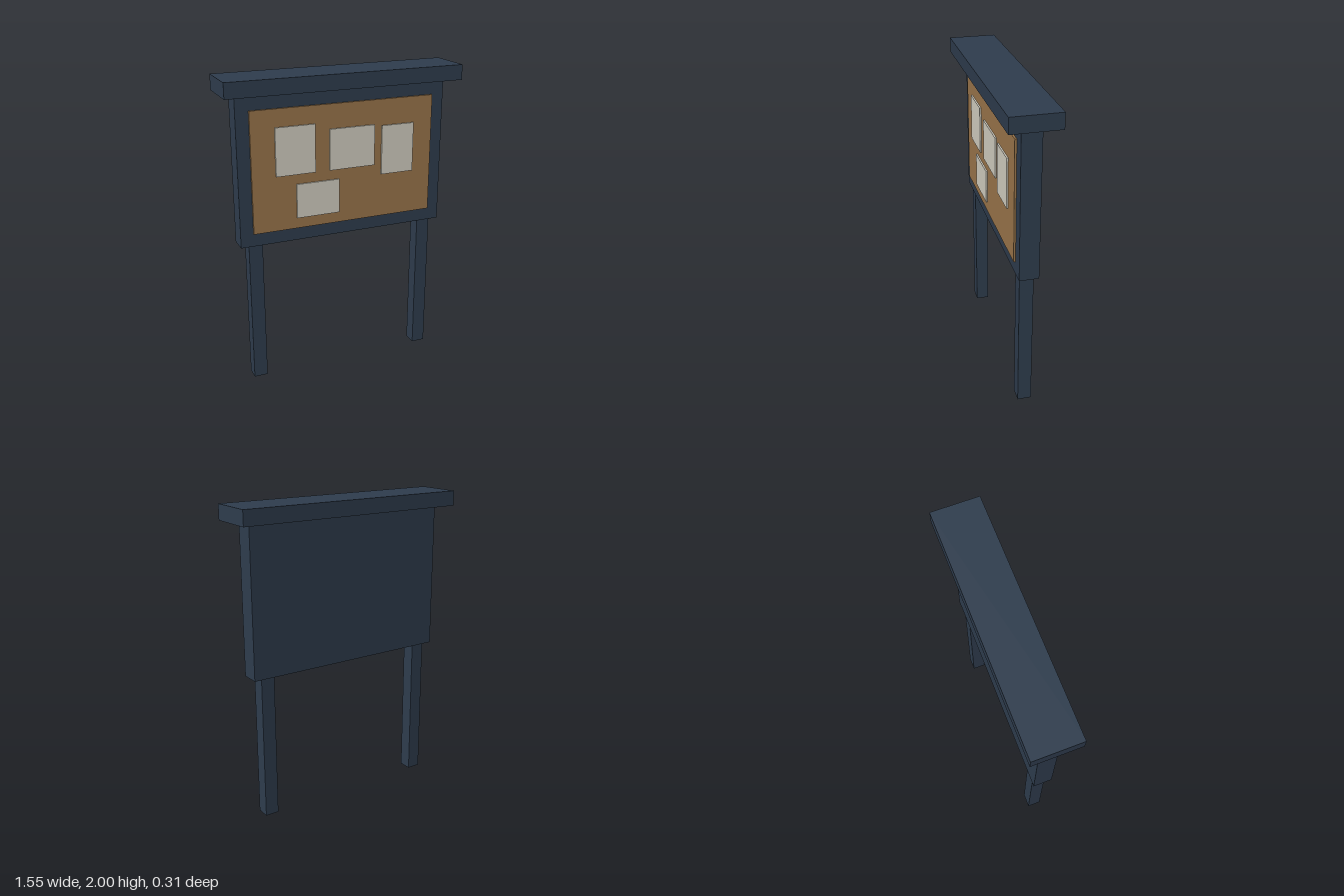
import * as THREE from 'three';

const frameMat = new THREE.MeshStandardMaterial({ name: 'slate blue paint', color: 0x2f3d4e });
const corkMat = new THREE.MeshStandardMaterial({ name: 'cork brown', color: 0x9c774c });
const paperMat = new THREE.MeshStandardMaterial({ name: 'paper white', color: 0xd5d1c4 });

// Box given by its lower and upper bounds on each axis
function box(name, material, [x0, x1], [y0, y1], [z0, z1]) {
  const mesh = new THREE.Mesh(new THREE.BoxGeometry(x1 - x0, y1 - y0, z1 - z0), material);
  mesh.name = name;
  mesh.position.set((x0 + x1) / 2, (y0 + y1) / 2, (z0 + z1) / 2);
  return mesh;
}

export function createModel() {
  const group = new THREE.Group();
  group.name = 'noticeBoard';

  // Square posts, ending at the underside of the board
  for (const [name, x] of [['rightPost', -0.595], ['leftPost', 0.595]]) {
    group.add(box(name, frameMat, [x - 0.045, x + 0.045], [0, 0.947], [-0.044, 0.044]));
  }

  // Backing board, and the roof slab a narrow gap above it
  group.add(box('board', frameMat, [-0.695, 0.695], [0.947, 1.89], [-0.061, 0.061]));
  group.add(box('roof', frameMat, [-0.777, 0.777], [1.903, 2], [-0.153, 0.153]));

  // Cork panel standing slightly proud of the board
  group.add(box('corkPanel', corkMat, [-0.612, 0.612], [1.031, 1.807], [0.061, 0.073]));

  // Pinned notices
  const notices = [
    [[-0.459, -0.2], [1.387, 1.694]],
    [[-0.104, 0.203], [1.387, 1.651]],
    [[0.254, 0.478], [1.318, 1.639]],
    [[-0.327, -0.041], [1.101, 1.323]],
  ];
  notices.forEach(([x, y], i) => group.add(box(`notice${i + 1}`, paperMat, x, y, [0.073, 0.083])));

  return group;
}
